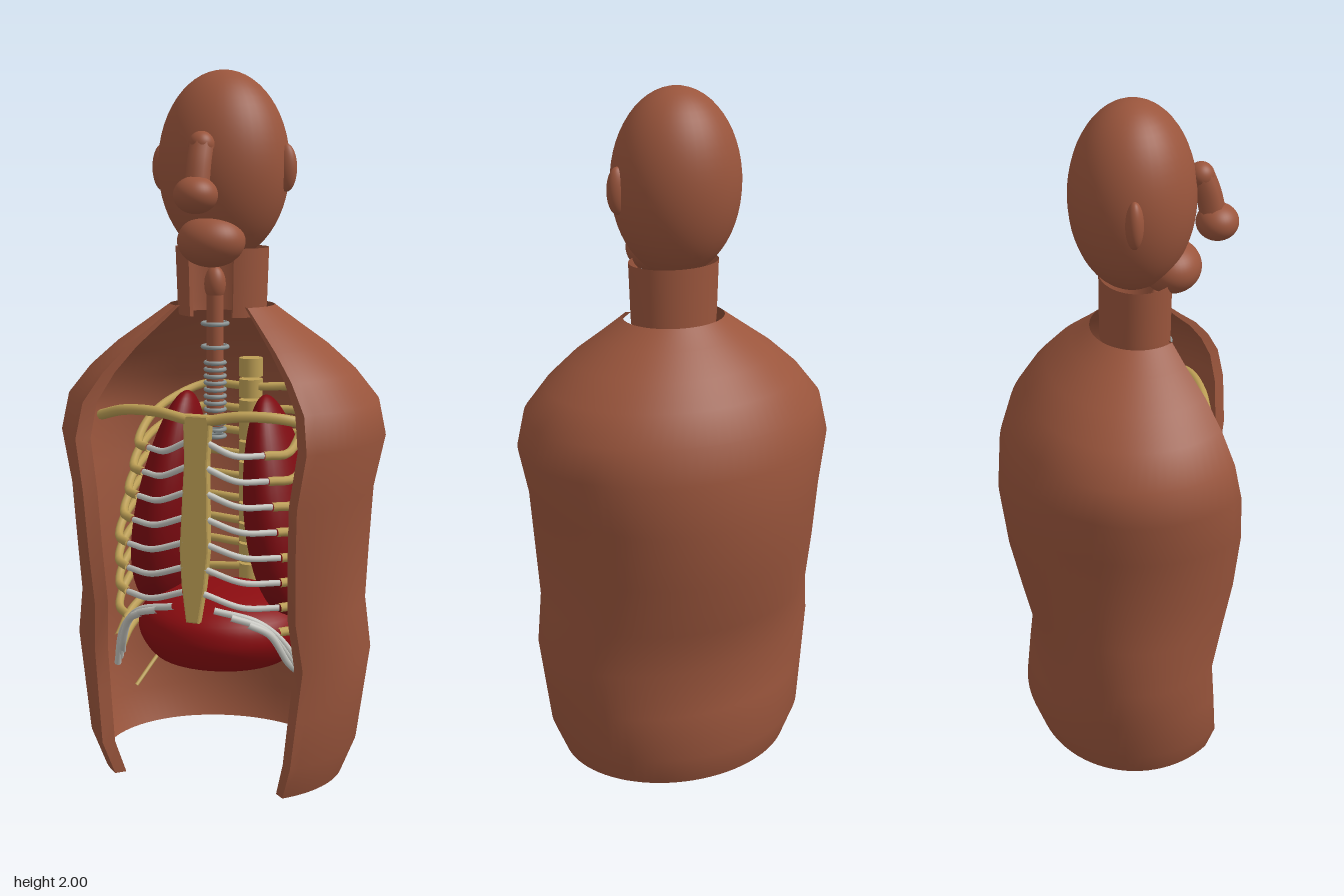
import * as THREE from 'three';

const mat = (name, color, side = THREE.FrontSide) => {
  const m = new THREE.MeshStandardMaterial({ color, side });
  m.name = name;
  return m;
};
const V = (x, y, z) => new THREE.Vector3(x, y, z);

// Grid surface from a rule: point(column, row) -> [x, y, z]
function surface(point, columns, rows) {
  const pos = [], idx = [];
  for (let j = 0; j <= rows; j++)
    for (let i = 0; i <= columns; i++) pos.push(...point(i / columns, j));
  for (let j = 0; j < rows; j++)
    for (let i = 0; i < columns; i++) {
      const a = j * (columns + 1) + i, b = a + columns + 1;
      idx.push(a, a + 1, b + 1, a, b + 1, b);
    }
  const g = new THREE.BufferGeometry();
  g.setAttribute('position', new THREE.Float32BufferAttribute(pos, 3));
  g.setIndex(idx);
  g.computeVertexNormals();
  return g;
}

export function createModel() {
  const root = new THREE.Group();
  root.name = 'anatomicalBust';
  const skin = mat('skin', 0x9a553c);
  const skinShell = mat('skinShell', 0x9a553c, THREE.DoubleSide);
  const bone = mat('bone', 0xbd9f55);
  const cartilage = mat('cartilage', 0xc4c4be);
  const ringGrey = mat('tracheaGrey', 0x8c9494);
  const lungRed = mat('lungRed', 0x7d0b11);
  const diaphragmRed = mat('diaphragmRed', 0x8a0c10);

  const add = (name, geometry, material, parent = root) => {
    const m = new THREE.Mesh(geometry, material);
    m.name = name;
    parent.add(m);
    return m;
  };
  const ball = (name, material, p, r, parent) => {
    const m = add(name, new THREE.SphereGeometry(1, 40, 28), material, parent);
    m.position.set(...p);
    m.scale.set(...r);
    return m;
  };
  const tube = (name, material, pts, r, parent) => add(name,
    new THREE.TubeGeometry(new THREE.CatmullRomCurve3(pts), 28, r, 8), material, parent);

  // Skin shells, open at the front: rows of [y, half width, half depth]
  const CZ = 0.06;
  function shell(name, rows, cut) {
    const at = (t, j, s = 1) => {
      const [y, w, d] = rows[j];
      return [w * s * Math.sin(t), y, CZ + d * s * Math.cos(t)];
    };
    const n = rows.length - 1, end = 2 * Math.PI - cut;
    add(name, surface((u, j) => at(cut + u * (end - cut), j), 64, n), skinShell);
    for (const t of [cut, end])
      add(name + 'Lip', surface((u, j) => at(t, j, 1 - 0.1 * u), 1, n), skinShell);
  }
  shell('torso', [
    [0, 0.36, 0.31], [0.1, 0.4, 0.343], [0.24, 0.42, 0.33], [0.38, 0.44, 0.315],
    [0.52, 0.42, 0.35], [0.68, 0.427, 0.385], [0.85, 0.437, 0.405], [1.0, 0.47, 0.395],
    [1.1, 0.45, 0.365], [1.18, 0.385, 0.315], [1.25, 0.305, 0.255],
    [1.31, 0.22, 0.185], [1.36, 0.15, 0.132],
  ], Math.PI / 4);
  shell('neck', [[1.33, 0.125, 0.105], [1.36, 0.128, 0.105], [1.52, 0.134, 0.106]], 0.52);

  // Head
  const head = new THREE.Group();
  head.name = 'head';
  root.add(head);
  ball('skull', skin, [0, 1.742, 0.045], [0.185, 0.26, 0.172], head);
  ball('mouthAndChin', skin, [0, 1.54, 0.15], [0.095, 0.072, 0.085], head);
  ball('noseTip', skin, [0, 1.668, 0.272], [0.06, 0.05, 0.058], head);
  tube('noseBridge', skin, [V(0, 1.8, 0.225), V(0, 1.75, 0.245), V(0, 1.68, 0.262)], 0.035, head);
  ball('noseRoot', skin, [0, 1.8, 0.225], [0.035, 0.035, 0.035], head);
  for (const s of [-1, 1]) ball('ear', skin, [s * 0.182, 1.737, 0.047], [0.03, 0.065, 0.024], head);

  // Windpipe with rings
  const pipe = new THREE.CylinderGeometry(0.024, 0.024, 0.43, 20);
  add('windpipe', pipe, skin).position.set(0, 1.235, 0.12);
  ball('larynx', skin, [0, 1.42, 0.12], [0.03, 0.05, 0.03]);
  const rings = [1.31, 1.245];
  for (let y = 1.2; y > 0.98; y -= 0.019) rings.push(y);
  rings.forEach((y, i) => {
    const ring = add('windpipeRing', new THREE.TorusGeometry(i < 2 ? 0.035 : 0.027, 0.006, 8, 24), ringGrey);
    ring.rotation.x = Math.PI / 2;
    ring.position.set(0, y, 0.12);
  });

  // Breastbone: tapered plate leaning forward at the foot
  const s = new THREE.Shape();
  const half = [[0.036, 1.07], [0.03, 0.95], [0.038, 0.7], [0.03, 0.6], [0.015, 0.5]];
  half.forEach(([x, y], i) => (i ? s.lineTo(x, y) : s.moveTo(x, y)));
  [...half].reverse().forEach(([x, y]) => s.lineTo(-x, y));
  const plate = new THREE.ExtrudeGeometry(s, {
    depth: 0.018, bevelEnabled: true, bevelThickness: 0.006, bevelSize: 0.005, bevelSegments: 2,
  });
  const pp = plate.attributes.position;
  for (let i = 0; i < pp.count; i++) pp.setZ(i, pp.getZ(i) + 0.25 + (1.07 - pp.getY(i)) * 0.07);
  plate.computeVertexNormals();
  add('breastbone', plate, bone);

  // Spine
  for (let i = 0; i < 14; i++)
    add('vertebra', new THREE.CylinderGeometry(0.036, 0.036, 0.056, 16), bone)
      .position.set(0, 0.31 + i * 0.064, -0.2);

  // Rib cage, mirrored
  for (const side of [-1, 1]) {
    const cage = new THREE.Group();
    cage.name = side > 0 ? 'leftRibs' : 'rightRibs';
    root.add(cage);
    const P = (x, y, z) => V(side * x, y, z);
    tube('collarbone', bone, [P(0.03, 1.06, 0.265), P(0.12, 1.075, 0.255),
      P(0.23, 1.07, 0.225), P(0.33, 1.04, 0.17)], 0.015, cage);
    for (let i = 0; i < 8; i++) {
      const y = 0.985 - i * 0.07;
      const w = Math.min(0.305, 0.235 + i * 0.017);
      const fx = 0.17 + Math.min(i, 4) * 0.014;
      const zf = 0.265 + i * 0.005;
      const end = P(fx, y - 0.025, zf - 0.065);
      // Bony part from the spine round to the front
      tube('rib', bone, [P(0.03, y + 0.1, -0.19), P(w * 0.6, y + 0.1, -0.2), P(w * 0.95, y + 0.06, -0.08),
        P(w, y + 0.02, 0.06), P(w * 0.95, y - 0.025, 0.15), end], 0.0125, cage);
      // Cartilage to the breastbone
      if (i < 7)
        tube('ribCartilage', cartilage, [end, P(fx * 0.6, y - 0.02, zf - 0.015),
          P(0.03, y + 0.015, zf + 0.005)], 0.009, cage);
    }
    // Lower costal margin and floating ribs
    for (let k = 0; k < 3; k++)
      tube('costalMargin', cartilage, [P(0.06 + k * 0.05, 0.535 - k * 0.015, 0.3), P(0.18 + k * 0.015, 0.5 - k * 0.015, 0.265),
        P(0.25, 0.42 - k * 0.02, 0.22), P(0.285 - k * 0.008, 0.3 + k * 0.02, 0.18)], 0.01, cage);
    for (let k = 0; k < 2; k++)
      tube('lowerRib', bone, [P(0.03, 0.52 - k * 0.06, -0.19), P(0.2, 0.5 - k * 0.06, -0.17),
        P(0.295, 0.43 - k * 0.05, 0.02), P(0.295, 0.37 - k * 0.05, 0.15)], 0.0125, cage);
    tube('floatingRib', bone, [P(0.03, 0.42, -0.2), P(0.17, 0.36, -0.18),
      P(0.25, 0.26, -0.1), P(0.295, 0.17, 0.02)], 0.006, cage);

    // Lung: ovoid widened and spread outward towards the base
    const lung = new THREE.SphereGeometry(1, 36, 28);
    const lp = lung.attributes.position;
    for (let i = 0; i < lp.count; i++) {
      const v = lp.getY(i), k = 1 - 0.22 * v;
      lp.setXYZ(i, lp.getX(i) * 0.095 * k + side * (0.165 - 0.045 * v), 0.775 + v * 0.325, 0.03 + lp.getZ(i) * 0.17 * k);
    }
    lung.computeVertexNormals();
    add('lung', lung, lungRed);
  }

  // Diaphragm: flat-bottomed dome
  const dome = [[0.001, 0.335], [0.17, 0.335], [0.205, 0.345], [0.235, 0.39], [0.242, 0.43],
    [0.225, 0.475], [0.17, 0.51], [0.09, 0.53], [0.001, 0.535]].map(([x, y]) => new THREE.Vector2(x, y));
  const d = add('diaphragm', new THREE.LatheGeometry(new THREE.SplineCurve(dome).getPoints(32), 48), diaphragmRed);
  d.position.z = 0.065;
  d.scale.set(1.02, 1, 0.94);

  return root;
}
